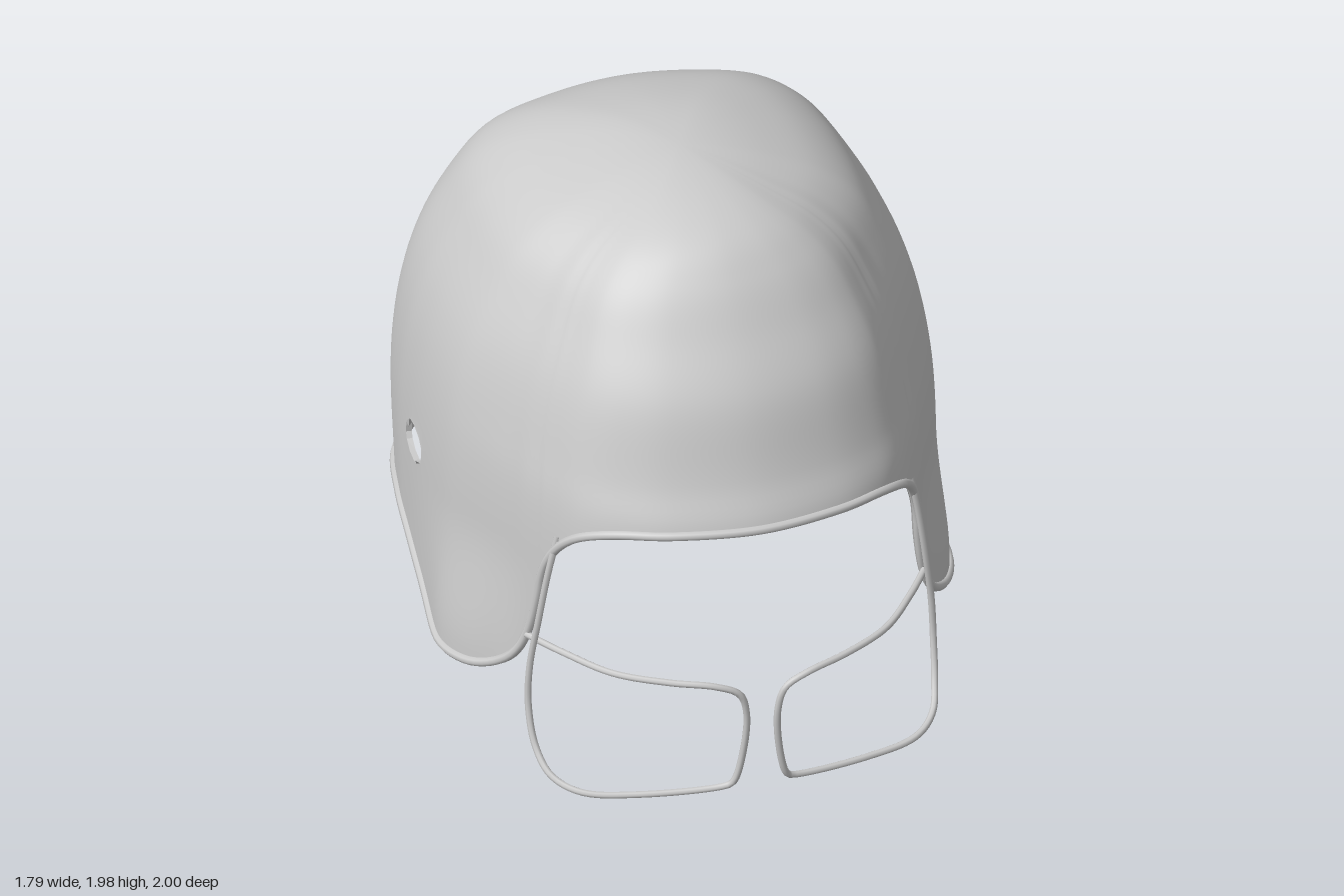
import * as THREE from 'three';

const TOP = 1.98, COLS = 220, ROWS = 56, THICK = 0.02;

// Smooth 1D curve through [position, value] pairs
function curve1D(pairs) {
  const c = new THREE.CubicInterpolant(pairs.map(p => p[0]), pairs.map(p => p[1]), 1);
  return t => c.evaluate(t)[0];
}

// Half width, front reach and back reach, by square root of the distance below the crown
const halfWidth = curve1D([[0, 0], [0.1, 0.12], [0.245, 0.31], [0.36, 0.47], [0.48, 0.6], [0.62, 0.7],
  [0.76, 0.79], [0.88, 0.84], [1.04, 0.87], [1.32, 0.865]]);
const frontReach = curve1D([[0, 0], [0.09, 0.17], [0.17, 0.31], [0.28, 0.46], [0.42, 0.58], [0.57, 0.69],
  [0.71, 0.81], [0.88, 0.91], [0.95, 0.97], [1.08, 1], [1.32, 1]]);
const backReach = curve1D([[0, 0], [0.1, 0.19], [0.245, 0.42], [0.36, 0.6], [0.5, 0.77], [0.65, 0.87],
  [0.85, 0.96], [1.04, 1], [1.22, 0.93], [1.32, 0.9]]);

// Left half of the rim from brow to nape: plan x, height y, plan z
const RIM = [
  [0, 1.07, 1], [0.3, 1.065, 0.945], [0.47, 1.045, 0.85], [0.56, 1.0, 0.76], [0.6, 0.94, 0.69],
  [0.625, 0.87, 0.635], [0.645, 0.78, 0.595], [0.655, 0.65, 0.57], [0.67, 0.5, 0.54], [0.69, 0.4, 0.5],
  [0.72, 0.32, 0.42], [0.765, 0.275, 0.33], [0.835, 0.26, 0.17], [0.855, 0.29, 0.07], [0.87, 0.37, -0.1],
  [0.87, 0.44, -0.25], [0.86, 0.49, -0.4], [0.8, 0.5, -0.66], [0.66, 0.495, -0.84], [0.37, 0.495, -0.95],
  [0, 0.49, -1],
];

// Surface point above a rim plan position at height y, with the ear flaps flaring out
function shellPoint(plan, y) {
  const q = Math.sqrt(Math.max(0, TOP - y));
  const z = plan.z * (plan.z > 0 ? frontReach(q) : backReach(q));
  const low = 1 - THREE.MathUtils.smoothstep(y, 0.28, 0.8);
  const flare = 0.065 * low * Math.exp(-(((z - 0.3) / 0.25) ** 2));
  const x = plan.x * halfWidth(q) / 0.87 + Math.sign(plan.x) * flare;
  return new THREE.Vector3(x, y, z);
}

// Distance from the ear hole centre, 1 on its edge
const HOLE = { y: 0.84, z: -0.16, ry: 0.07, rz: 0.093 };
function holeDistance(p) {
  return Math.abs(p.x) < 0.5 ? 9 : Math.hypot((p.y - HOLE.y) / HOLE.ry, (p.z - HOLE.z) / HOLE.rz);
}

function shellGeometry(rim) {
  const pos = [], index = [], inHole = [];
  for (let j = 0; j < ROWS; j++) {
    for (const r of rim) {
      const p = shellPoint(r, r.y + (TOP - r.y) * Math.sin(j / ROWS * Math.PI / 2));
      const d = holeDistance(p);
      inHole.push(d < 1);
      if (d < 1) { // slide onto the hole edge
        const k = 1 / Math.max(d, 1e-3);
        p.y = HOLE.y + (p.y - HOLE.y) * k;
        p.z = HOLE.z + (p.z - HOLE.z) * k;
      }
      pos.push(p.x, p.y, p.z);
    }
  }
  const pole = ROWS * COLS;
  pos.push(0, TOP, 0);
  for (let j = 0; j < ROWS; j++) {
    for (let i = 0; i < COLS; i++) {
      const n = (i + 1) % COLS;
      const a = j * COLS + i, b = j * COLS + n;
      if (j === ROWS - 1) { index.push(a, b, pole); continue; }
      const c = b + COLS, d = a + COLS;
      if ([a, b, c, d].every(v => inHole[v])) continue;
      index.push(a, b, c, a, c, d);
    }
  }
  const g = new THREE.BufferGeometry();
  g.setAttribute('position', new THREE.Float32BufferAttribute(pos, 3));
  g.setIndex(index);
  g.computeVertexNormals();
  return g;
}

// Inner skin: the outer one moved inward and turned over
function liningGeometry(outer) {
  const g = outer.clone();
  const p = g.attributes.position, n = outer.attributes.normal;
  for (let i = 0; i < p.count; i++) {
    p.setXYZ(i, p.getX(i) - n.getX(i) * THICK, p.getY(i) - n.getY(i) * THICK, p.getZ(i) - n.getZ(i) * THICK);
  }
  const idx = Array.from(outer.index.array);
  for (let i = 0; i < idx.length; i += 3) [idx[i], idx[i + 1]] = [idx[i + 1], idx[i]];
  g.setIndex(idx);
  g.computeVertexNormals();
  return g;
}

// Walls joining both skins along every open edge
function edgeGeometry(outer, inner) {
  const idx = outer.index.array, edges = new Set(), pos = [];
  const key = (a, b) => a * 100000 + b;
  const tri = f => { for (let i = 0; i < idx.length; i += 3) for (let k = 0; k < 3; k++) f(idx[i + k], idx[i + (k + 1) % 3]); };
  tri((a, b) => edges.add(key(a, b)));
  const at = (g, i) => new THREE.Vector3().fromBufferAttribute(g.attributes.position, i).toArray();
  tri((a, b) => {
    if (edges.has(key(b, a))) return;
    const A = at(outer, a), B = at(outer, b), C = at(inner, b), D = at(inner, a);
    pos.push(...B, ...A, ...D, ...B, ...D, ...C);
  });
  const g = new THREE.BufferGeometry();
  g.setAttribute('position', new THREE.Float32BufferAttribute(pos, 3));
  g.computeVertexNormals();
  return g;
}

// Left wire loop of the face guard, from the brow corner round to the ear flap
const WIRE = [
  [0.61, 0.95, 0.65], [0.64, 0.8, 0.64], [0.67, 0.6, 0.625], [0.695, 0.4, 0.605], [0.7, 0.25, 0.61],
  [0.69, 0.12, 0.66], [0.66, 0.05, 0.74], [0.58, 0.02, 0.82], [0.4, 0.015, 0.88], [0.11, 0.04, 0.945],
  [0.09, 0.06, 0.955], [0.06, 0.2, 0.97], [0.055, 0.35, 0.983], [0.08, 0.43, 0.988], [0.16, 0.47, 0.98],
  [0.3, 0.48, 0.93], [0.47, 0.485, 0.83], [0.6, 0.495, 0.68], [0.69, 0.5, 0.55],
];

export function createModel() {
  const group = new THREE.Group();
  const mat = new THREE.MeshStandardMaterial({ color: 0xcccccc });
  const wallMat = new THREE.MeshStandardMaterial({ color: 0xcccccc, side: THREE.DoubleSide });
  const add = (name, geometry, material = mat) => {
    const m = new THREE.Mesh(geometry, material);
    m.name = name;
    group.add(m);
  };

  // Full rim: left half plus its mirror
  const mirrored = RIM.slice(1, -1).reverse().map(([x, y, z]) => [-x, y, z]);
  const rimCurve = new THREE.CatmullRomCurve3([...RIM, ...mirrored].map(p => new THREE.Vector3(...p)), true);
  const rim = rimCurve.getSpacedPoints(COLS).slice(0, COLS);

  // Helmet shell
  const outer = shellGeometry(rim), inner = liningGeometry(outer);
  add('shell', outer);
  add('lining', inner);
  add('shellEdges', edgeGeometry(outer, inner), wallMat);

  // Bead round the rim
  const bead = new THREE.CatmullRomCurve3(rim.filter((_, i) => i % 2 === 0).map(r => shellPoint(r, r.y)), true);
  add('rimBead', new THREE.TubeGeometry(bead, 220, 0.016, 8, true));

  // Face guard wires
  for (const [name, side] of [['leftFaceWire', 1], ['rightFaceWire', -1]]) {
    const path = new THREE.CatmullRomCurve3(WIRE.map(([x, y, z]) => new THREE.Vector3(x * side, y, z)));
    add(name, new THREE.TubeGeometry(path, 120, 0.012, 8));
  }
  return group;
}
